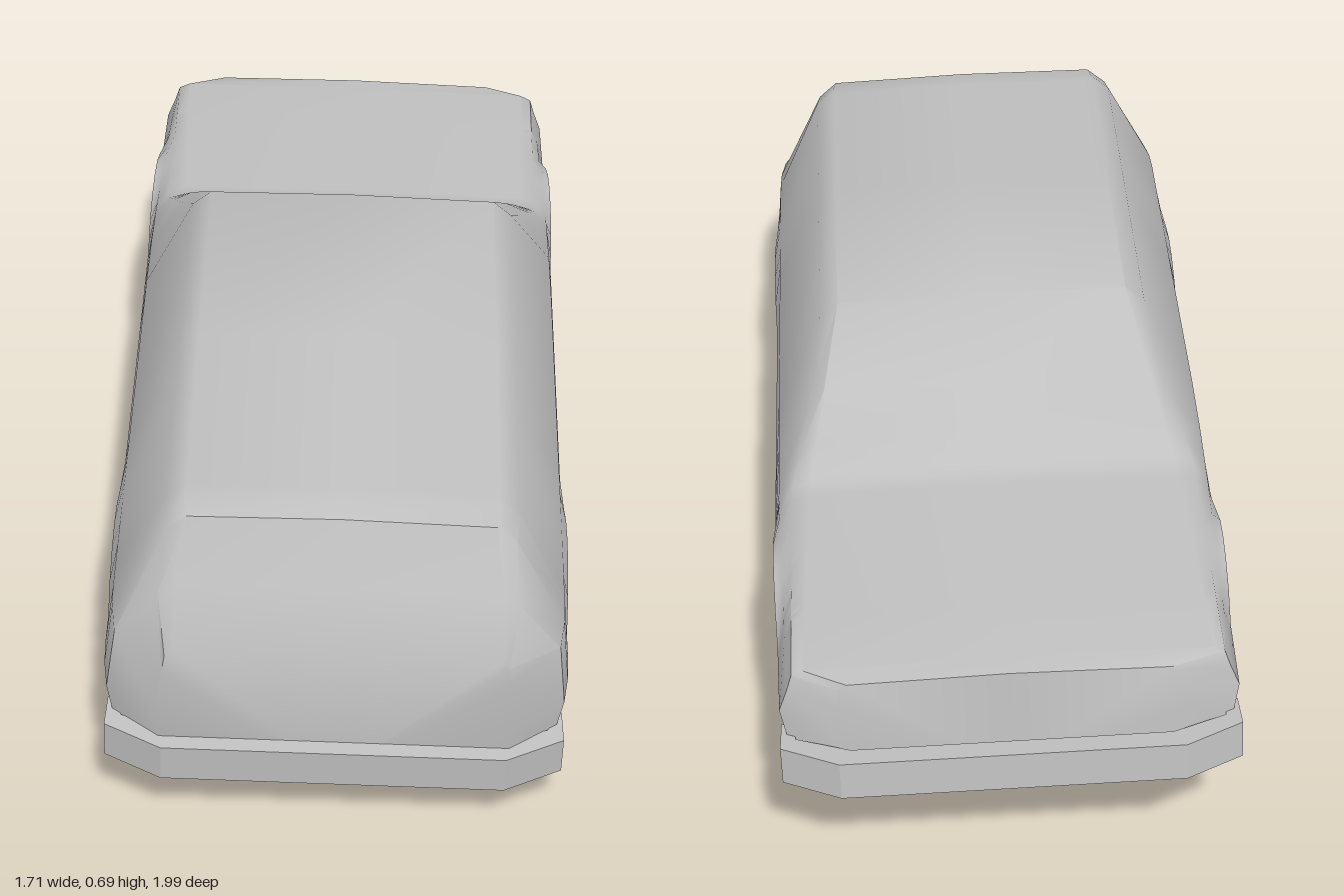
import * as THREE from 'three';
import { toCreasedNormals } from 'three/addons/utils/BufferGeometryUtils.js';

const FLOOR = -0.03, WELL = 0.25, AXLE = 0.55, HALF_TRACK = 0.0;

// Body stations along z (nose at -z): z, belt y/x, shoulder y/x, top y/x
const STATIONS = [
  [-0.93, 0.13, 0.30, 0.165, 0.295, 0.175, 0.28],
  [-0.89, 0.14, 0.385, 0.172, 0.375, 0.182, 0.355],
  [-0.40, 0.20, 0.395, 0.232, 0.37, 0.243, 0.335],
  [-0.25, 0.225, 0.395, 0.325, 0.33, 0.354, 0.302],
  [-0.11, 0.235, 0.395, 0.425, 0.305, 0.455, 0.27],
  [0.78, 0.235, 0.395, 0.425, 0.305, 0.455, 0.27],
  [0.83, 0.235, 0.393, 0.415, 0.30, 0.445, 0.265],
  [0.89, 0.23, 0.385, 0.32, 0.31, 0.342, 0.28],
  [0.955, 0.20, 0.30, 0.235, 0.295, 0.245, 0.28],
];

// Wheel arch outline: z offset from the axle, lower edge height
const ARCH = [[-0.21, FLOOR], [-0.19, 0.03], [-0.165, 0.095], [-0.12, 0.145],
  [-0.06, 0.171], [0, 0.179], [0.06, 0.171], [0.12, 0.145], [0.165, 0.095], [0.19, 0.03], [0.21, FLOOR]];
const SILL = [[-2, FLOOR]];
for (const c of [-AXLE, AXLE]) for (const [dz, y] of ARCH) SILL.push([c + dz, y]);
SILL.push([2, FLOOR]);

// Linear interpolation in a table whose first column is z
function sample(table, z) {
  let i = 0;
  while (i < table.length - 2 && z > table[i + 1][0]) i++;
  const a = table[i], b = table[i + 1];
  const t = (z - a[0]) / (b[0] - a[0]);
  return a.map((v, k) => v + (b[k] - v) * t);
}

// Closed cross-section, from floor centre up the +x side and down the other
function section(z) {
  const [, by, bx, sy, sx, ty, tx] = sample(STATIONS, z);
  const low = sample(SILL, z)[1];
  const half = [
    [WELL, FLOOR], [WELL, low], [bx - 0.008, low],
    [bx + 0.015, Math.max(0.1, low + 0.004)],
    [bx, Math.max(by, low + 0.01)], [sx, sy], [tx, ty],
  ];
  const mirrored = half.map(([x, y]) => [-x, y]).reverse();
  return [[0, FLOOR], ...half, [0, ty + 0.005], ...mirrored].map(([x, y]) => [x, y, z]);
}

function bodyGeometry() {
  const zs = [...STATIONS.map((s) => s[0]), ...SILL.slice(1, -1).map((s) => s[0])].sort((a, b) => a - b);
  const rings = zs.map(section);
  const n = rings[0].length, pos = [];
  const tri = (...p) => pos.push(...p.flat());
  for (let i = 0; i < rings.length - 1; i++) {
    for (let j = 0; j < n; j++) {
      const k = (j + 1) % n;
      const a = rings[i][j], b = rings[i][k], c = rings[i + 1][k], d = rings[i + 1][j];
      tri(a, b, c);
      tri(a, c, d);
    }
  }
  // Nose and tail panels
  const nose = rings[0], tail = rings[rings.length - 1];
  for (let j = 1; j < n - 1; j++) {
    tri(nose[0], nose[j + 1], nose[j]);
    tri(tail[0], tail[j], tail[j + 1]);
  }
  const g = new THREE.BufferGeometry();
  g.setAttribute('position', new THREE.Float32BufferAttribute(pos, 3));
  return toCreasedNormals(g, 0.75);
}

// Wrap-around bumper: plan shape with chamfered corners, pulled upward
function bumperGeometry() {
  const outer = [[0.4, 0.86], [0.402, 0.93], [0.3, 0.985]];
  const inner = [[0.28, 0.945], [0.375, 0.905], [0.38, 0.86]];
  const flip = (list) => list.map(([x, z]) => [-x, z]).reverse();
  const plan = [...outer, ...flip(outer), ...flip(inner), ...inner];
  const shape = new THREE.Shape(plan.map(([x, z]) => new THREE.Vector2(x, -z)));
  const g = new THREE.ExtrudeGeometry(shape, { depth: 0.073, bevelEnabled: false });
  return g.rotateX(-Math.PI / 2).translate(0, -0.026, 0);
}

// Tyre and raised hub disc in one turned profile: radius, distance from car centre
function wheelGeometry() {
  const profile = [[0, 0.272], [0.135, 0.272], [0.153, 0.283], [0.16, 0.305], [0.16, 0.335],
    [0.154, 0.358], [0.135, 0.374], [0.09, 0.376], [0.086, 0.366], [0.082, 0.376], [0, 0.38]];
  const g = new THREE.LatheGeometry(profile.map(([r, h]) => new THREE.Vector2(r, h)), 32);
  return toCreasedNormals(g.rotateZ(-Math.PI / 2), 0.6);
}

export function createModel() {
  const grey = new THREE.MeshStandardMaterial({ color: 0xc0c0c0 });
  grey.name = 'light grey';
  const car = new THREE.Group();
  car.name = 'car';
  const add = (name, geometry, z = 0, turn = 0) => {
    const m = new THREE.Mesh(geometry, grey);
    m.name = name;
    m.position.z = z;
    m.rotation.y = turn;
    car.add(m);
  };

  add('body', bodyGeometry());
  const bumper = bumperGeometry();
  add('rearBumper', bumper);
  add('frontBumper', bumper, 0, Math.PI);
  const wheel = wheelGeometry();
  for (const [end, z] of [['front', -AXLE], ['rear', AXLE]]) {
    add(end + 'WheelA', wheel, z, 0);
    add(end + 'WheelB', wheel, z, Math.PI);
  }

  // Stand the car diagonally, nose slightly raised and leaning a little
  const zAxis = new THREE.Vector3(0.558, -0.087, 0.825).normalize();
  const xAxis = new THREE.Vector3(0.826, -0.033, -0.562);
  const yAxis = new THREE.Vector3().crossVectors(zAxis, xAxis).normalize();
  xAxis.crossVectors(yAxis, zAxis);
  car.quaternion.setFromRotationMatrix(new THREE.Matrix4().makeBasis(xAxis, yAxis, zAxis));

  // Centre on the ground
  const model = new THREE.Group();
  model.name = 'stationWagon';
  model.add(car);
  model.updateMatrixWorld(true);
  const box = new THREE.Box3().setFromObject(model, true);
  const mid = box.getCenter(new THREE.Vector3());
  car.position.set(-mid.x, -box.min.y, -mid.z);
  return model;
}
